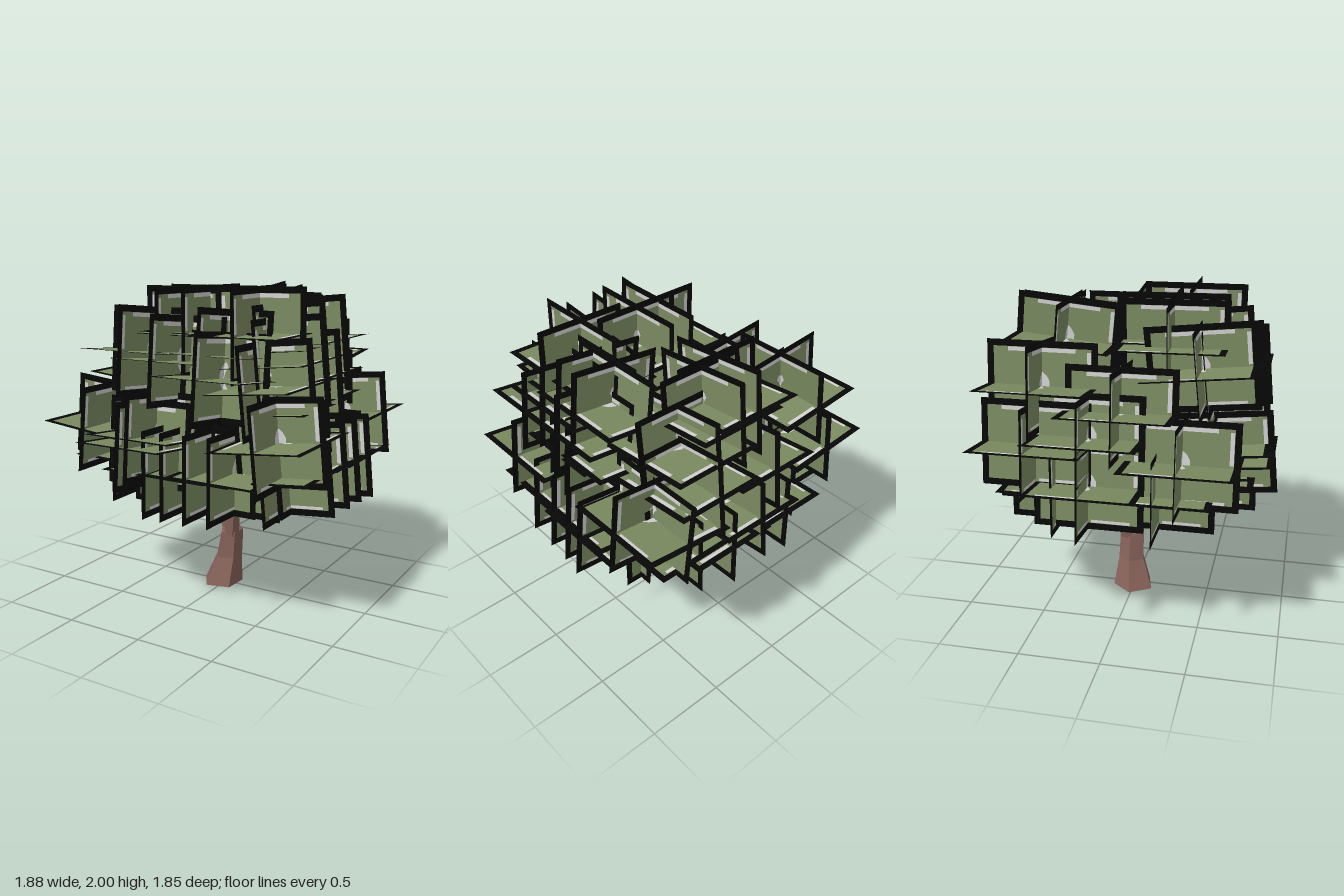
import * as THREE from 'three';
import { mergeGeometries } from 'three/addons/utils/BufferGeometryUtils.js';

const material = (name, color, side = THREE.FrontSide) => {
  const m = new THREE.MeshStandardMaterial({ color, side });
  m.name = name;
  return m;
};

// Rectangular outline, usable as a shape or a hole
function rect(x0, y0, x1, y1) {
  return new THREE.Shape([[x0, y0], [x1, y0], [x1, y1], [x0, y1]].map((p) => new THREE.Vector2(...p)));
}

// Flat leaf card: black frame, green field, pale edge strips and a crescent
function leafCard(w, h) {
  const x = w / 2, y = h / 2, b = 0.039;
  const frame = rect(-x, -y, x, y);
  frame.holes.push(rect(-x + b, -y + b, x - b, y - b));

  const crescent = new THREE.Shape();
  crescent.moveTo(0.012, 0.095);
  crescent.quadraticCurveTo(-0.11, 0.02, 0.015, -0.09);
  crescent.lineTo(0.03, -0.06);
  crescent.quadraticCurveTo(-0.025, 0, 0.03, 0.065);
  crescent.closePath();

  const e = 0.002; // strips sit just inside the frame
  const pale = [
    rect(-x * 0.6, y - b - 0.026, x * 0.62, y - b - e),
    rect(-x + b + e, y * 0.05, -x + b + 0.026, y * 0.78),
    rect(-x * 0.75, -y + b + e, -x * 0.05, -y + b + 0.02),
    crescent,
  ];
  const field = rect(-x + b, -y + b, x - b, y - b);
  field.holes.push(...pale);
  return mergeGeometries([frame, field, pale].map((s) => new THREE.ShapeGeometry(s, 5)), true);
}

// Faceted tube through sections [x, y, z, radiusX, radiusZ]
function limb(sections, sides, turn) {
  const pos = [], index = [];
  sections.forEach(([x, y, z, rx, rz]) => {
    for (let i = 0; i < sides; i++) {
      const a = turn + (i / sides) * Math.PI * 2;
      pos.push(x + Math.cos(a) * rx, y, z + Math.sin(a) * rz);
    }
  });
  for (let s = 0; s < sections.length - 1; s++) {
    for (let i = 0; i < sides; i++) {
      const j = (i + 1) % sides, a = s * sides, c = a + sides;
      index.push(a + i, c + i, a + j, a + j, c + i, c + j);
    }
  }
  // End caps
  const top = (sections.length - 1) * sides;
  for (let i = 1; i < sides - 1; i++) index.push(0, i, i + 1, top, top + i + 1, top + i);
  const g = new THREE.BufferGeometry();
  g.setAttribute('position', new THREE.Float32BufferAttribute(pos, 3));
  g.setIndex(index);
  const flat = g.toNonIndexed();
  flat.computeVertexNormals();
  return flat;
}

// Leaf clusters tier by tier: inward lean and cluster centres
const TIERS = {
  crown: { lean: 0.01, centres: [
    [0.415, 1.732, 0.32], [0.05, 1.725, 0.25], [-0.12, 1.715, 0.27],
  ] },
  upper: { lean: 0.1, centres: [
    [0.03, 1.68, -0.45], [0.16, 1.66, -0.46], [0.35, 1.5, -0.48], [-0.5, 1.51, -0.45],
    [0.5, 1.65, -0.08], [0.46, 1.63, 0.12], [-0.25, 1.6, 0.46], [0.24, 1.6, 0.4],
    [-0.02, 1.56, 0.48], [0.28, 1.48, 0.5], [0.51, 1.56, 0.22], [0.52, 1.44, 0.41],
    [0.53, 1.46, 0.06], [-0.53, 1.39, 0.03],
  ] },
  middle: { lean: 0.1, centres: [
    [0.36, 1.3, -0.52], [-0.05, 1.3, -0.55], [0.5, 1.31, 0.02], [0.5, 1.28, 0.17],
    [-0.2, 1.06, 0.575], [-0.15, 1.11, 0.55], [0.61, 1.13, 0.44], [-0.6, 1.12, 0.4],
    [0.6, 1.14, -0.53], [-0.6, 1.18, -0.47], [-0.59, 1.24, -0.15], [0.05, 1.0, -0.56],
  ] },
  side: { lean: 0.1, centres: [
    [0.58, 0.92, 0.28], [0.59, 0.92, 0.08], [0.6, 0.92, -0.08], [0.62, 0.92, -0.22],
    [-0.62, 0.95, -0.15],
  ] },
  lower: { lean: 0.02, centres: [
    [-0.48, 0.91, 0.25], [-0.1, 0.91, 0.46], [0.02, 0.91, 0.45], [0.17, 0.91, 0.44],
    [0.32, 0.91, 0.42], [0.45, 0.91, -0.46], [0.25, 0.91, -0.53],
    [-0.2, 0.91, -0.52], [-0.45, 0.91, -0.35],
  ] },
};

export function createModel() {
  const tree = new THREE.Group();
  tree.name = 'tree';

  const bark = material('bark brown', 0x87625a);
  const leafMaterials = [
    material('outline black', 0x060706, THREE.DoubleSide),
    material('leaf green', 0x7b8a61, THREE.DoubleSide),
    material('highlight grey', 0xd0d0d0, THREE.DoubleSide),
  ];

  // Trunk that forks into two branches
  const trunkParts = {
    trunk: limb([
      [-0.03, 0, 0, 0.135, 0.137],
      [0.008, 0.19, -0.02, 0.09, 0.09],
      [0.03, 0.37, -0.02, 0.075, 0.085],
      [0.025, 0.4, -0.025, 0.045, 0.055],
    ], 5, 0.7),
    thickBranch: limb([
      [0.015, 0.34, -0.04, 0.06, 0.06],
      [-0.045, 0.64, -0.105, 0.055, 0.065],
      [-0.12, 1.0, -0.2, 0.04, 0.04],
      [-0.2, 1.3, -0.28, 0.015, 0.015],
    ], 5, 0.3),
    thinBranch: limb([
      [0.04, 0.34, 0.005, 0.055, 0.05],
      [0.08, 0.64, 0.045, 0.045, 0.045],
      [0.15, 1.0, 0.12, 0.03, 0.03],
      [0.2, 1.2, 0.16, 0.012, 0.012],
    ], 5, 0.9),
  };
  for (const [name, geometry] of Object.entries(trunkParts)) {
    const mesh = new THREE.Mesh(geometry, bark);
    mesh.name = name;
    tree.add(mesh);
  }

  // Three crossed cards shared by every cluster
  const W = 0.59, H = 0.53, D = 0.67;
  const cards = {
    frontCard: leafCard(W, H),
    sideCard: leafCard(D, H).rotateY(Math.PI / 2),
    levelCard: leafCard(D, W).rotateZ(-Math.PI / 2).rotateX(-Math.PI / 2),
  };

  // Each cluster leans in from whichever side of the tree it is nearest
  for (const [tier, { lean, centres }] of Object.entries(TIERS)) {
    const foliage = new THREE.Group();
    foliage.name = tier + 'Foliage';
    for (const [x, y, z] of centres) {
      const cluster = new THREE.Group();
      cluster.name = 'leafCluster';
      for (const [name, geometry] of Object.entries(cards)) {
        const mesh = new THREE.Mesh(geometry, leafMaterials);
        mesh.name = name;
        cluster.add(mesh);
      }
      cluster.position.set(x, y, z);
      if (Math.abs(x) > Math.abs(z)) cluster.rotation.z = lean * Math.sign(x);
      else cluster.rotation.x = -lean * Math.sign(z);
      if (x > 0.55) cluster.scale.x = -1;
      foliage.add(cluster);
    }
    tree.add(foliage);
  }
  return tree;
}
